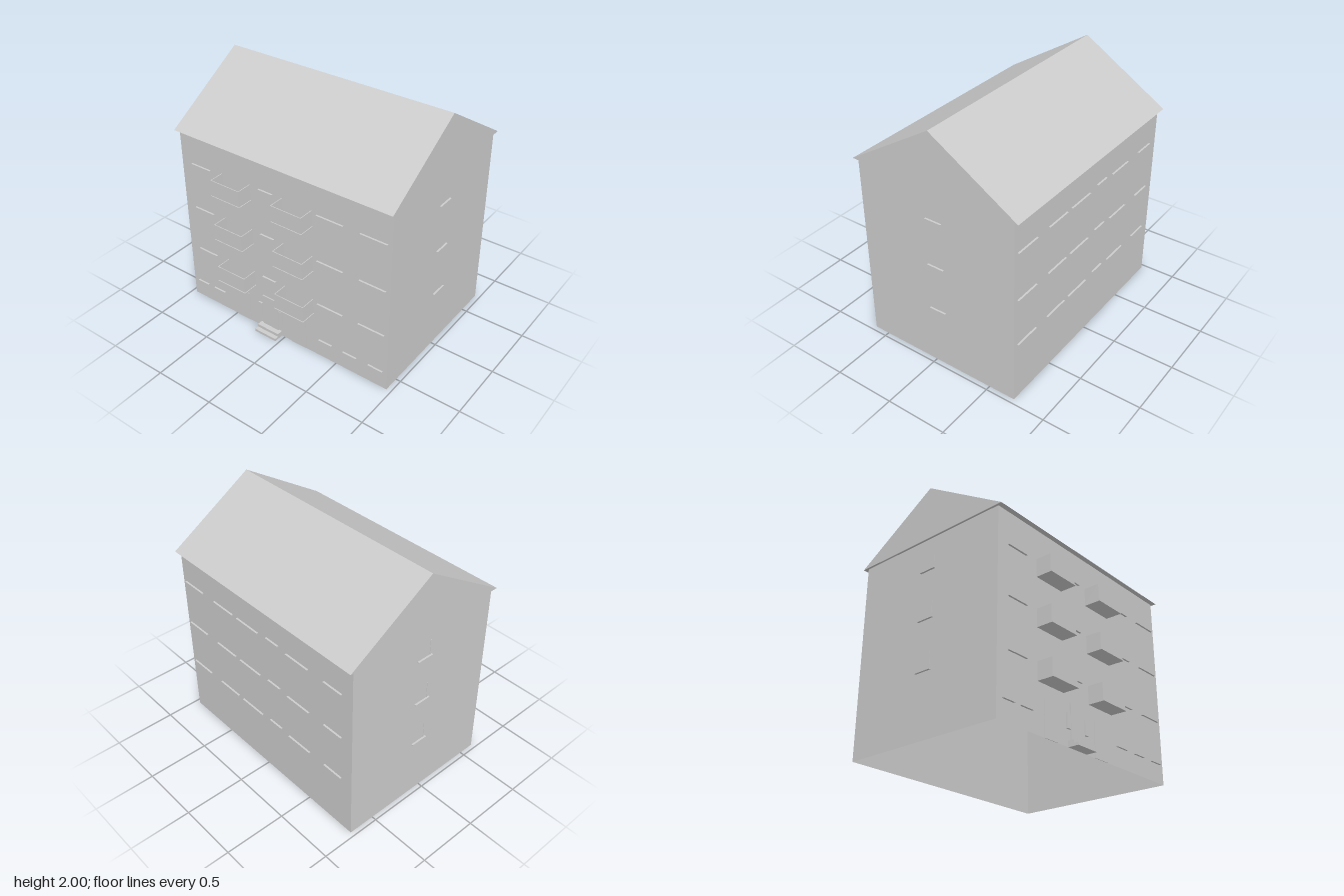
import * as THREE from 'three';

const grey = new THREE.MeshStandardMaterial({ color: 0xcccccc, side: THREE.DoubleSide, flatShading: true });

// Outer limits of the walls
const L = -0.963, R = 0.96, BACK = -0.72, FRONT = 0.63, EAVES = 1.556;

export function createModel() {
  const model = new THREE.Group();
  model.name = 'apartmentHouse';

  const add = (name, geometry, parent = model) => {
    const mesh = new THREE.Mesh(geometry, grey);
    mesh.name = name;
    parent.add(mesh);
    return mesh;
  };
  // Box given by its limits on each axis
  const box = (name, x0, x1, y0, y1, z0, z1, parent) =>
    add(name, new THREE.BoxGeometry(x1 - x0, y1 - y0, z1 - z0), parent)
      .position.set((x0 + x1) / 2, (y0 + y1) / 2, (z0 + z1) / 2);

  // Walls: a box without top and floor
  const walls = new THREE.BoxGeometry(R - L, EAVES, FRONT - BACK);
  const index = Array.from(walls.index.array);
  index.splice(12, 12);
  walls.setIndex(index);
  walls.clearGroups();
  add('walls', walls).position.set((L + R) / 2, EAVES / 2, (BACK + FRONT) / 2);

  // Gabled roof: triangle in the z-y plane, extruded along x
  const gable = new THREE.Shape([
    new THREE.Vector2(-0.67, EAVES),
    new THREE.Vector2(0.76, EAVES),
    new THREE.Vector2(0.045, 2),
  ]);
  const roof = new THREE.ExtrudeGeometry(gable, { depth: 1.955, bevelEnabled: false });
  roof.rotateY(Math.PI / 2);
  add('roof', roof).position.x = -0.98;

  // Window sills and balconies, floor by floor
  const frontSills = [[-0.86, -0.67], [0.33, 0.56], [0.70, 0.925]];
  const backSills = [[0.70, 0.925], [0.33, 0.56], [0.03, 0.275], [-0.52, -0.285], [-0.86, -0.68]];
  const h = 0.008, out = 0.015;
  [0.497, 0.893, 1.287].forEach((y) => {
    for (const [a, b] of frontSills) box('frontSill', a, b, y, y + h, FRONT, FRONT + out);
    for (const [a, b] of backSills) box('backSill', a, b, y, y + h, BACK - out, BACK);
    box('stairSill', -0.197, -0.067, y + 0.016, y + 0.016 + h, FRONT, FRONT + out);
    box('stairSill', -0.2, -0.065, y + 0.016, y + 0.016 + h, BACK - out, BACK);
    box('sideSill', R, R + out, y, y + h, -0.113, 0.03);
    box('sideSill', L - out, L, y, y + h, -0.113, 0.03);
    box('windowJamb', L - 0.003, L, y + h, y + 0.14, 0.008, 0.016);

    for (const x of [-0.555, 0.015]) {
      const balcony = new THREE.Group();
      balcony.name = 'balcony';
      model.add(balcony);
      const w = 0.273, y0 = y - 0.118, y1 = y + 0.025, t = 0.006;
      box('balconySlab', x, x + w + 0.006, y0, y0 + 0.012, FRONT, 0.762, balcony);
      box('balconyFront', x, x + w, y0 + 0.012, y1, 0.756 - t, 0.756, balcony);
      box('balconySide', x, x + t, y0 + 0.012, y1, FRONT, 0.756 - t, balcony);
      box('balconySide', x + w - t, x + w, y0 + 0.012, y1, FRONT, 0.756 - t, balcony);
    }
  });

  // Ground floor sills
  for (const [a, b] of [[-0.91, -0.797], [-0.735, -0.615], [0.34, 0.465], [0.565, 0.69], [0.795, 0.923]])
    box('groundSill', a, b, 0.151, 0.159, FRONT, FRONT + out);

  // Slightly raised panels either side of the entrance
  box('entrancePanel', -0.49, -0.35, 0, 0.27, FRONT, FRONT + 0.004);
  box('entrancePanel', 0.07, 0.215, 0, 0.27, FRONT, FRONT + 0.004);

  // Entrance: door, wall plates and two steps
  box('door', -0.21, -0.058, 0.045, 0.327, FRONT, 0.64);
  box('wallPlate', -0.254, -0.216, 0.13, 0.243, FRONT, 0.642);
  box('wallPlate', -0.051, -0.015, 0.13, 0.243, FRONT, 0.642);
  box('lowerStep', -0.237, -0.03, 0, 0.021, FRONT, 0.715);
  box('upperStep', -0.237, -0.03, 0.021, 0.046, FRONT, 0.68);

  return model;
}
